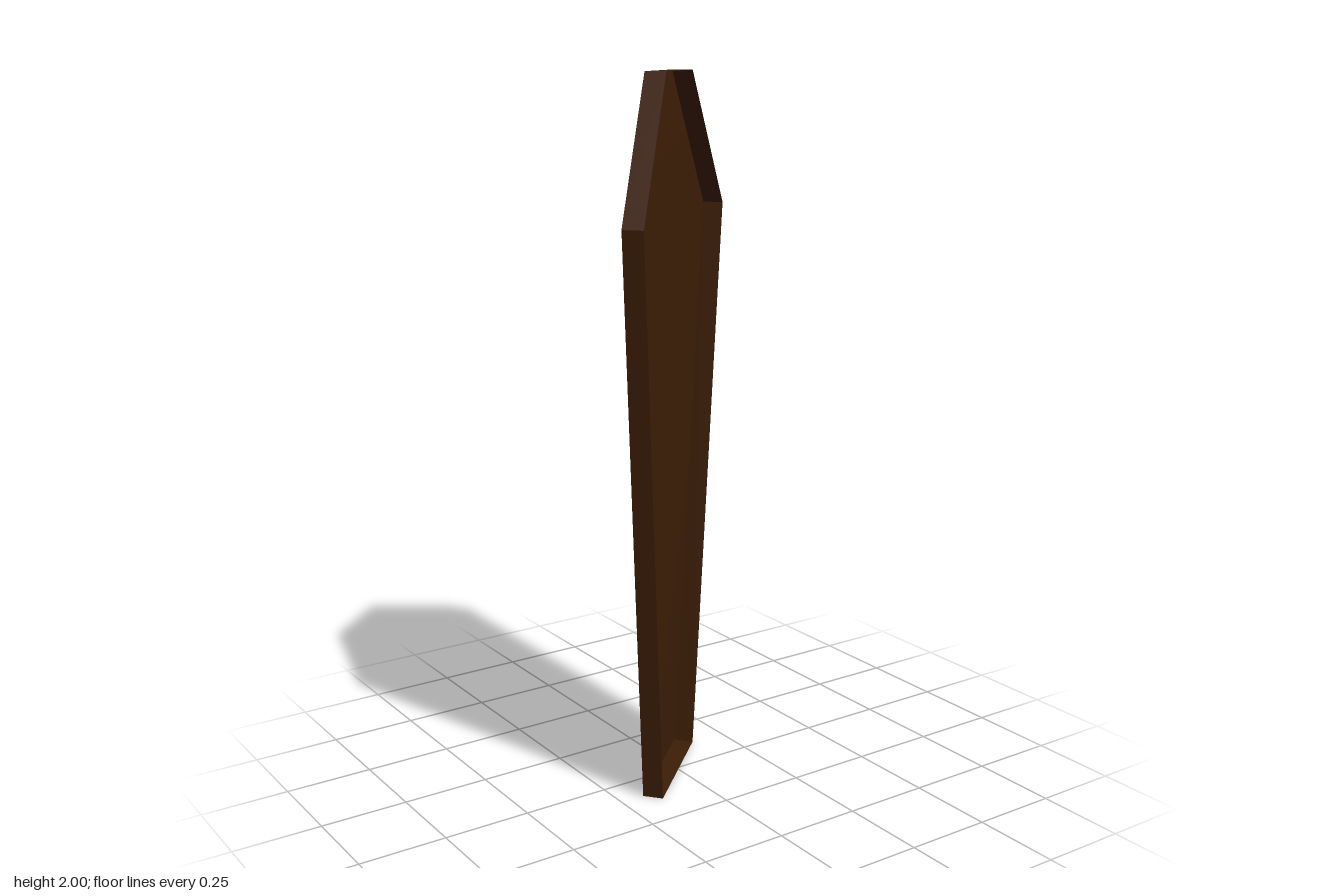
import * as THREE from 'three';

// Rim of the open front, counter-clockwise from the bottom left corner
const RIM = [
  [-0.142, 0, 0.14],
  [0.142, 0, -0.12],
  [0.317, 1.62, -0.224],
  [0.119, 2, -0.095],
  [-0.109, 2, 0.114],
  [-0.28, 1.62, 0.267],
];
// The back panel repeats the rim, moved by the depth of the walls
const BACK = RIM.map(([x, y, z]) => [x - 0.037, y, z - 0.045]);

function makeGeometry(points, index) {
  const geometry = new THREE.BufferGeometry();
  geometry.setAttribute('position', new THREE.Float32BufferAttribute(points.flat(), 3));
  geometry.setIndex(index);
  geometry.computeVertexNormals();
  return geometry;
}

export function createModel() {
  const group = new THREE.Group();
  group.name = 'coffinLid';

  // Thin open shell, seen from both sides
  const darkWood = new THREE.MeshStandardMaterial({ color: 0x3d1e06, side: THREE.DoubleSide });
  darkWood.name = 'dark wood';

  function addPart(name, points, index) {
    const mesh = new THREE.Mesh(makeGeometry(points, index), darkWood);
    mesh.name = name;
    group.add(mesh);
  }

  // Six-sided back panel: long lower part and short tapered upper part
  addPart('backPanel', BACK, [0, 5, 2, 0, 2, 1, 5, 4, 3, 5, 3, 2]);

  // Narrow walls around the edge; the front stays open
  const wallNames = ['bottomWall', 'lowerLeftWall', 'upperLeftWall', 'topWall', 'upperRightWall', 'lowerRightWall'];
  wallNames.forEach((name, i) => {
    const j = (i + 1) % RIM.length;
    addPart(name, [RIM[i], BACK[i], BACK[j], RIM[j]], [0, 1, 2, 0, 2, 3]);
  });

  return group;
}
